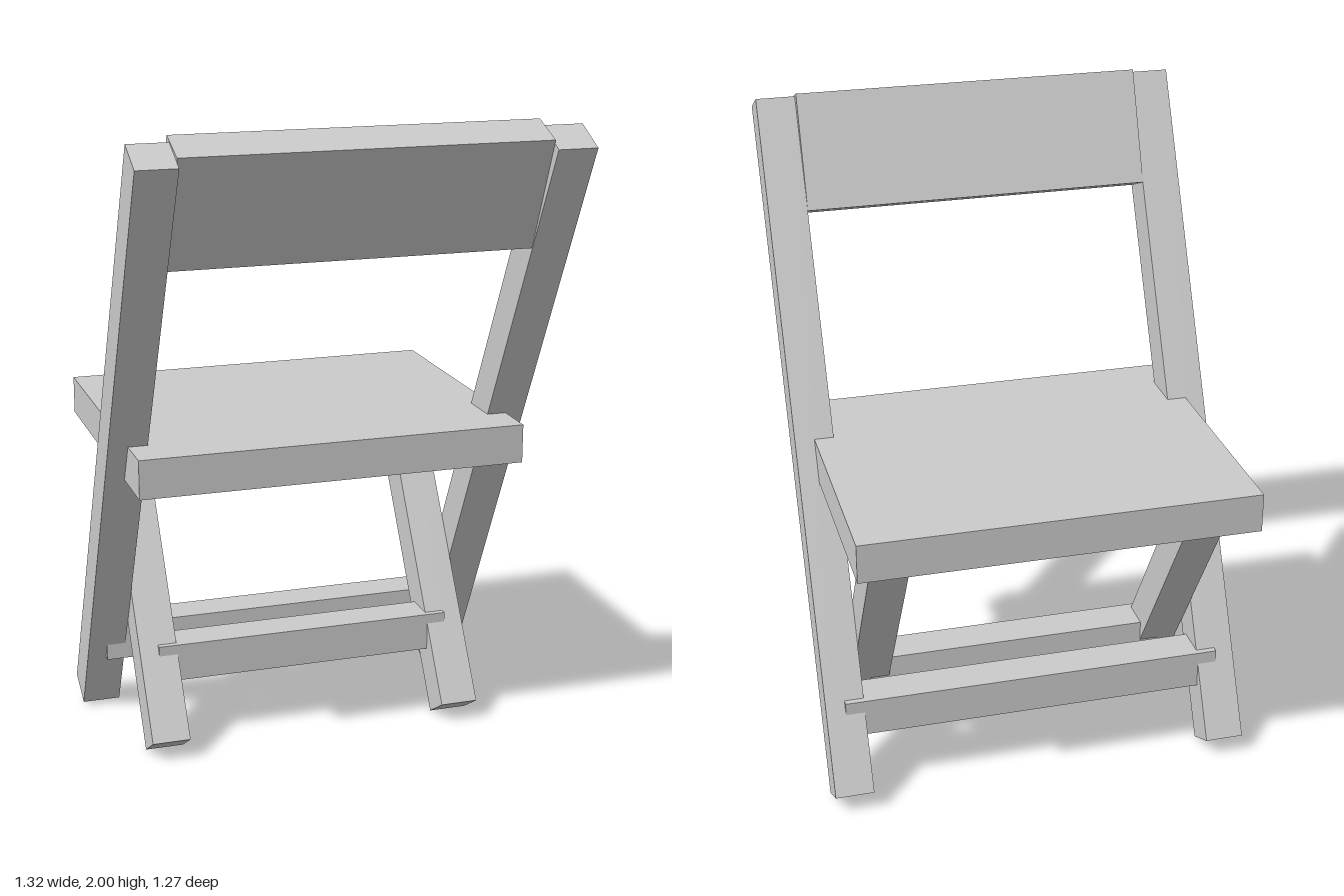
import * as THREE from 'three';

const material = new THREE.MeshStandardMaterial({ color: 0xcccccc, flatShading: true });

export function createModel() {
  const chair = new THREE.Group();
  chair.name = 'foldingChair';

  function box(name, size, position) {
    const mesh = new THREE.Mesh(new THREE.BoxGeometry(...size), material);
    mesh.name = name;
    mesh.position.set(...position);
    chair.add(mesh);
    return mesh;
  }

  // Square bar at a given x, running between two [z, y] end centres
  function bar(name, x, [z0, y0], [z1, y1]) {
    const length = Math.hypot(z1 - z0, y1 - y0);
    const mesh = box(name, [0.12, length, 0.12], [x, (y0 + y1) / 2, (z0 + z1) / 2]);
    mesh.rotation.x = Math.atan2(z1 - z0, y1 - y0);
  }

  // Long back posts and short crossing legs, mirrored
  for (const [side, s] of [['left', 1], ['right', -1]]) {
    bar(side + 'BackPost', s * 0.6, [-0.388, 0.037], [0.58, 1.958]);
    bar(side + 'CrossLeg', s * 0.48, [0.11, 0.034], [-0.47, 0.947]);
  }

  // Seat slab
  box('seat', [1.2, 0.12, 0.96], [0, 0.985, -0.155]);

  // Tilted back panel between the posts
  const back = box('backPanel', [1.08, 0.357, 0.12], [0, 1.8125, 0.488]);
  back.rotation.x = Math.atan2(0.135, 0.33);

  // Rungs joining each pair of legs
  box('legRung', [0.96, 0.12, 0.12], [0, 0.265, -0.044]);
  box('postRung', [1.2, 0.12, 0.12], [0, 0.265, -0.27]);

  return chair;
}
